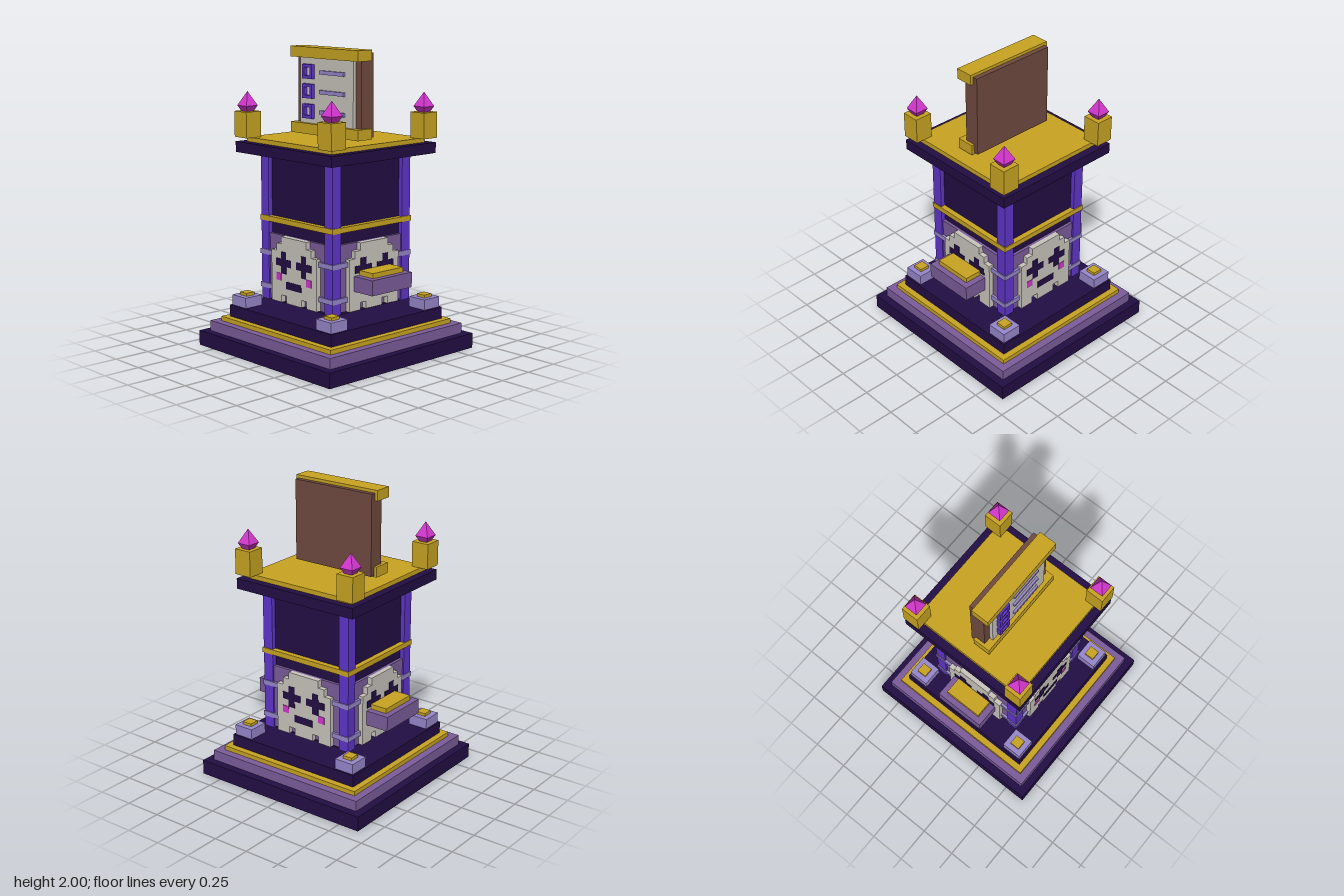
import * as THREE from 'three';

const paint = (name, color) => {
  const m = new THREE.MeshStandardMaterial({ color });
  m.name = name;
  return m;
};

export function createModel() {
  const dark = paint('midnight purple', 0x230e44);
  const plum = paint('dusty purple', 0x7c5d9c);
  const gold = paint('gold', 0xc9a522);
  const violet = paint('violet', 0x6035cc);
  const lavender = paint('lavender', 0x9887cc);
  const bone = paint('bone', 0xcac6be);
  const brown = paint('brown', 0x704b40);
  const magenta = paint('magenta', 0xd437cf);

  const model = new THREE.Group();
  model.name = 'shrineTower';

  // Box given by its minimum and maximum corners
  const box = (name, mat, [x0, y0, z0], [x1, y1, z1], parent = model) => {
    const mesh = new THREE.Mesh(new THREE.BoxGeometry(x1 - x0, y1 - y0, z1 - z0), mat);
    mesh.position.set((x0 + x1) / 2, (y0 + y1) / 2, (z0 + z1) / 2);
    mesh.name = name;
    parent.add(mesh);
    return mesh;
  };
  // Square slab centred on the tower axis
  const slab = (name, mat, half, y0, y1) => box(name, mat, [-half, y0, -half], [half, y1, half]);

  // Stepped base
  slab('baseStep', dark, 0.648, 0, 0.1);
  slab('middleStep', plum, 0.595, 0.1, 0.17);
  slab('goldStep', gold, 0.543, 0.17, 0.2);
  slab('topStep', dark, 0.5, 0.2, 0.28);

  // Tower body, trim and roof
  slab('towerBody', dark, 0.315, 0.325, 1.315);
  slab('goldBand', gold, 0.352, 0.865, 0.9);
  slab('roofSlab', dark, 0.463, 1.315, 1.385);
  slab('roofPlate', gold, 0.41, 1.385, 1.415);

  // Corner pieces: foot, pillar, clasps, roof post and crystal
  for (const sx of [-1, 1]) for (const sz of [-1, 1]) {
    const corner = new THREE.Group();
    corner.name = 'corner';
    model.add(corner);
    const block = (name, mat, c, half, y0, y1) =>
      box(name, mat, [sx * c - half, y0, sz * c - half], [sx * c + half, y1, sz * c + half], corner);
    block('foot', lavender, 0.418, 0.07, 0.28, 0.35);
    block('footCap', gold, 0.418, 0.034, 0.35, 0.37);
    block('pillar', violet, 0.309, 0.037, 0.335, 1.315);
    for (const y of [0.41, 0.637]) block('clasp', lavender, 0.281, 0.071, y, y + 0.033);
    block('roofPost', gold, 0.406, 0.061, 1.415, 1.585);

    const crystal = new THREE.Mesh(new THREE.OctahedronGeometry(0.067), magenta);
    crystal.name = 'crystal';
    crystal.scale.y = 0.093 / 0.067;
    crystal.rotation.y = Math.PI / 4;
    crystal.position.set(sx * 0.406, 1.622, sz * 0.406);
    corner.add(crystal);
  }

  // Pixel skull outline on a 9 x 9 grid, mirrored about its centre line
  const p = 0.0488, top = 0.785;
  const half = [[2.5, 0], [2.5, 1], [3.5, 1], [3.5, 2], [4.5, 2], [4.5, 9],
    [2.5, 9], [2.5, 8], [1.5, 8], [1.5, 9]];
  const outline = [...half, ...half.map(([x, r]) => [-x, r]).reverse()];
  const skullGeometry = new THREE.ExtrudeGeometry(
    new THREE.Shape(outline.map(([x, r]) => new THREE.Vector2(x * p, top - r * p))),
    { depth: 0.035, bevelEnabled: false });

  // Skull panel on each of the four walls
  for (let i = 0; i < 4; i++) {
    const wall = new THREE.Group();
    wall.name = 'skullWall';
    wall.rotation.y = i * Math.PI / 2;
    model.add(wall);
    box('backPanel', plum, [-0.272, 0.345, 0.3], [0.272, 0.785, 0.335], wall);
    const skull = new THREE.Mesh(skullGeometry, bone);
    skull.name = 'skull';
    skull.position.z = 0.333;
    wall.add(skull);

    // Painted pixels: column centre, first row, width and height in grid cells
    const pixels = (name, mat, x, row, w, h) => box(name, mat,
      [(x - w / 2) * p, top - (row + h) * p, 0.366], [(x + w / 2) * p, top - row * p, 0.371], wall);
    for (const s of [-1, 1]) {
      pixels('eyeMiddle', dark, s * 2, 3, 3, 1);
      pixels('eyeUpper', dark, s * 2, 2, 1, 1);
      pixels('eyeLower', dark, s * 2, 4, 1, 1);
      pixels('cheek', magenta, s * 3, 5, 1, 1);
    }
    pixels('mouth', dark, 0, 6, 3, 1);
  }

  // Offering shelves on both sides
  for (const s of [-1, 1]) {
    const shelf = new THREE.Group();
    shelf.name = 'sideShelf';
    shelf.rotation.y = s * Math.PI / 2;
    model.add(shelf);
    box('shelf', plum, [-0.178, 0.475, 0.36], [0.178, 0.575, 0.533], shelf);
    box('shelfPlate', gold, [-0.135, 0.575, 0.372], [0.135, 0.608, 0.493], shelf);
  }

  // Notice board on the roof
  const board = new THREE.Group();
  board.name = 'noticeBoard';
  model.add(board);
  box('boardBack', brown, [-0.302, 1.44, -0.05], [0.302, 1.98, 0.055], board);
  box('boardSheet', bone, [-0.252, 1.48, 0.05], [0.252, 1.95, 0.08], board);
  for (const y of [1.43, 1.93]) box('boardRail', gold, [-0.322, y, -0.017], [0.322, y + 0.07, 0.105], board);

  // Checklist rows: open square frame and a line
  const frame = new THREE.Shape([[-1, -1], [1, -1], [1, 1], [-1, 1]].map(([x, y]) => new THREE.Vector2(x * 0.047, y * 0.047)));
  frame.holes.push(new THREE.Path([[-1, -1], [-1, 1], [1, 1], [1, -1]].map(([x, y]) => new THREE.Vector2(x * 0.027, y * 0.027))));
  const frameGeometry = new THREE.ExtrudeGeometry(frame, { depth: 0.027, bevelEnabled: false });
  for (const y of [1.58, 1.712, 1.84]) {
    const check = new THREE.Mesh(frameGeometry, violet);
    check.name = 'checkBox';
    check.position.set(-0.162, y, 0.079);
    board.add(check);
    box('listLine', lavender, [-0.055, y - 0.013, 0.079], [0.175, y + 0.013, 0.095], board);
  }
  return model;
}
